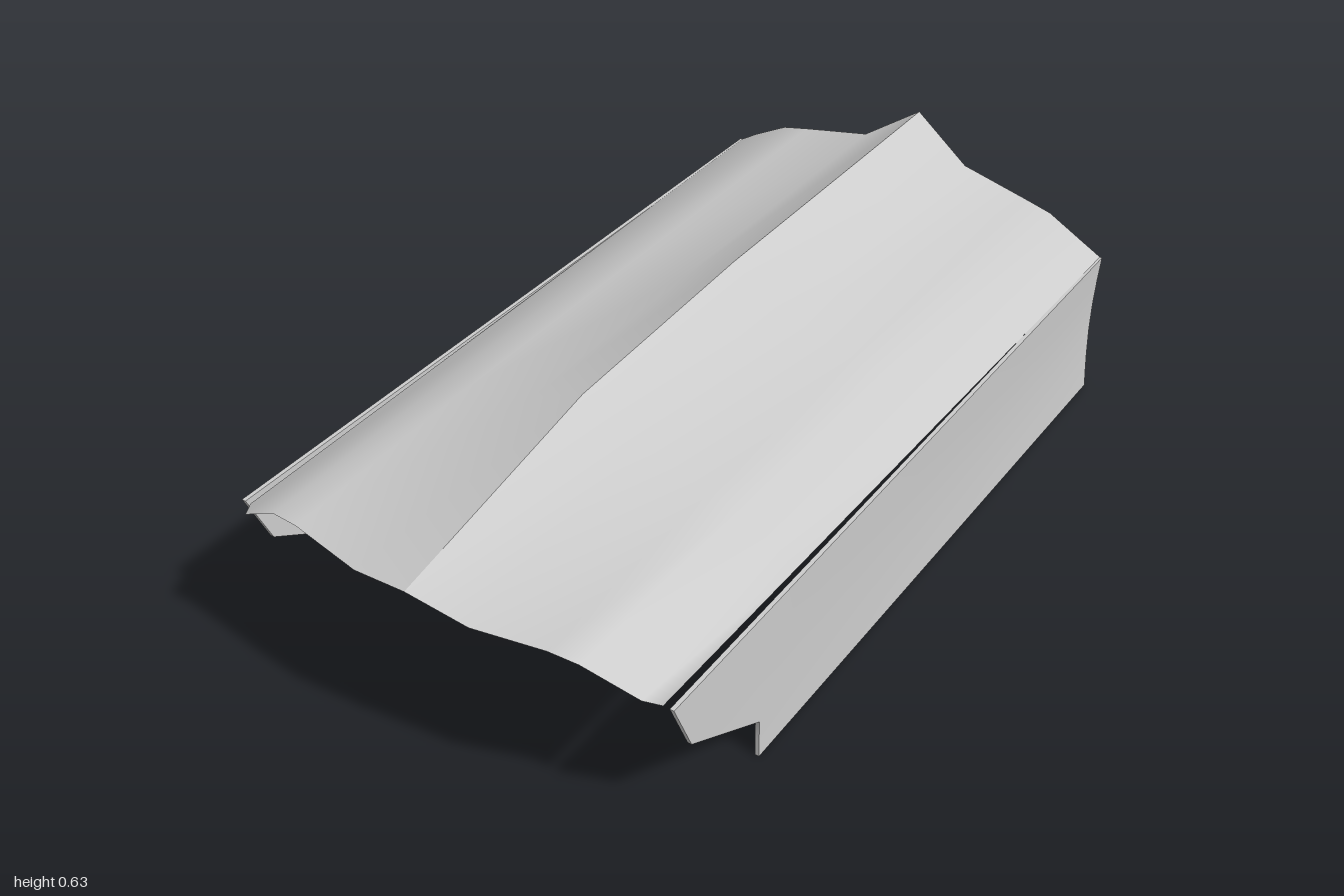
import * as THREE from 'three';

// Smooth sheet through rows of [x, y, z] points; rows run back to front, columns run -x to +x
function sheet(rows, material) {
  const cols = rows[0].length, index = [];
  for (let r = 0; r < rows.length - 1; r++) {
    for (let c = 0; c < cols - 1; c++) {
      const a = r * cols + c, b = a + 1, d = a + cols, e = d + 1;
      index.push(a, d, b, b, d, e);
    }
  }
  const g = new THREE.BufferGeometry();
  g.setAttribute('position', new THREE.Float32BufferAttribute(rows.flat(2), 3));
  g.setIndex(index);
  g.computeVertexNormals();
  return new THREE.Mesh(g, material);
}

// Thin side wall: a box whose front end is stepped, spreading outward to the front and bowed inward at the back
function sideWall(side, material) {
  const ys = [0, 0.05, 0.1, 0.175, 0.25, 0.32, 0.39];
  const fronts = [0.58, 0.58, 0.58, 0.705, 0.83, 0.86, 0.89];
  const g = new THREE.BoxGeometry(0.01, 1, 1, 1, 6, 10);
  const p = g.attributes.position;
  for (let i = 0; i < p.count; i++) {
    const k = Math.round((p.getY(i) + 0.5) * 6);
    const z = -1 + (p.getZ(i) + 0.5) * (fronts[k] + 1);
    const bow = 0.009 * Math.sin(Math.PI * ys[k] / 0.39) * (1 - z) / 2;
    p.setXYZ(i, p.getX(i) + side * (0.531 + 0.01 * (z + 1) - bow), ys[k], z);
  }
  g.computeVertexNormals();
  return new THREE.Mesh(g, material);
}

export function createModel() {
  const group = new THREE.Group();
  const grey = new THREE.MeshStandardMaterial({ color: 0xcccccc, side: THREE.DoubleSide });

  // Half sections from the ridge outward
  const xs = [0, 0.145, 0.32, 0.39, 0.48, 0.53];
  const back = [0.635, 0.53, 0.492, 0.475, 0.425, 0.39];
  const middle = [0.635, 0.535, 0.495, 0.478, 0.425, 0.39];
  const shoulder = [0.61, 0.54, 0.495, 0.48, 0.422, 0.39];
  const backZ = [-1, -0.99, -0.988, -0.988, -0.99, -1];

  // The front lip differs slightly between the two sides
  const lips = {
    1: { y: [0.49, 0.46, 0.478, 0.475, 0.375, 0.39], z: [1, 0.985, 0.967, 0.96, 0.89, 0.89] },
    [-1]: { y: [0.49, 0.463, 0.478, 0.473, 0.425, 0.39], z: [1, 0.985, 0.962, 0.955, 0.95, 0.89] },
  };

  for (const side of [1, -1]) {
    const name = side > 0 ? 'left' : 'right';
    const lip = lips[side];
    const row = (y, z) => {
      const pts = xs.map((x, i) => [side * x, y[i], Array.isArray(z) ? z[i] : z]);
      return side > 0 ? pts : pts.reverse();
    };

    // Roof half, kept separate so the ridge stays sharp
    const roof = sheet([row(back, backZ), row(middle, -0.15), row(shoulder, 0.42), row(lip.y, lip.z)], grey);
    roof.name = name + 'RoofPanel';

    const wall = sideWall(side, grey);
    wall.name = name + 'SideWall';
    group.add(roof, wall);
  }
  return group;
}
